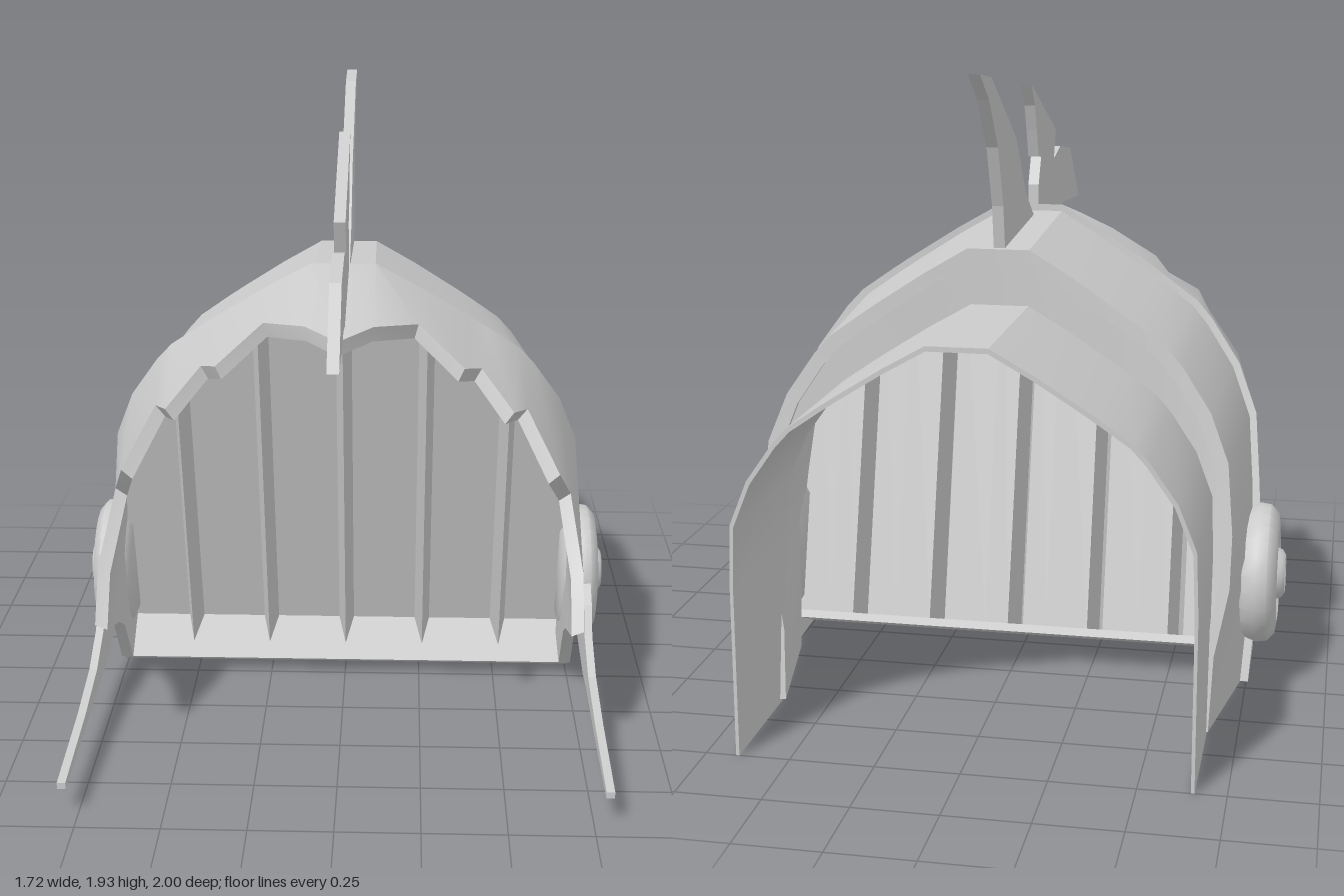
import * as THREE from 'three';
import { toCreasedNormals } from 'three/addons/utils/BufferGeometryUtils.js';

const V = (x, y, z) => new THREE.Vector3(x, y, z);
const material = new THREE.MeshStandardMaterial({ color: 0xcccccc, side: THREE.DoubleSide });

// Half arch of the dome (x, y), from the crown down to the bottom of one side
const ARCH = [[0, 1.46], [0.1, 1.46], [0.24, 1.38], [0.39, 1.285], [0.45, 1.245], [0.55, 1.175], [0.6, 1.12],
  [0.69, 0.99], [0.75, 0.84], [0.77, 0.62], [0.78, 0.46], [0.78, 0.36], [0.775, 0.26], [0.76, 0.03]];
// Ragged front edge (x, y, z), one point for each arch point
const JAGGED = [[0, 1.36, 0.645], [0.1, 1.375, 0.54], [0.23, 1.345, 0.4], [0.365, 1.24, 0.5], [0.42, 1.205, 0.385],
  [0.51, 1.12, 0.54], [0.56, 1.08, 0.385], [0.655, 0.91, 0.49], [0.71, 0.77, 0.28], [0.735, 0.6, 0.51],
  [0.735, 0.45, 0.6], [0.74, 0.36, 0.36], [0.75, 0.27, 0.2], [0.76, 0.05, 0]];

const seamZ = (y) => 0.13 - 0.278 * (1.46 - y);
const backZ = (y) => -0.43 - 0.143 * (1.4 - y);
const inset = (row) => row.map((p) => V(p.x * 0.95, p.y * 0.968, p.z));
const shift = (row, dz) => row.map((p) => V(p.x, p.y, p.z + dz));
const mirrorRow = (row) => [...row.slice(1).reverse().map((p) => V(-p.x, p.y, p.z)), ...row];

// Closed shell lofted over the arch; every section is a four-cornered loop
function shell(name, outerBack, outerFront, innerFront = inset(outerFront), innerBack = inset(outerBack)) {
  const rows = [outerBack, outerFront, innerFront, innerBack].map(mirrorRow);
  const n = rows[0].length, pos = [], index = [];
  for (let i = 0; i < n; i++) for (const r of rows) pos.push(r[i].x, r[i].y, r[i].z);
  for (let i = 0; i < n - 1; i++) {
    for (let k = 0; k < 4; k++) {
      const a = i * 4 + k, b = i * 4 + (k + 1) % 4;
      index.push(a, b, b + 4, a, b + 4, a + 4);
    }
  }
  const e = (n - 1) * 4;
  index.push(0, 2, 1, 0, 3, 2, e, e + 1, e + 2, e, e + 2, e + 3);
  const g = new THREE.BufferGeometry();
  g.setAttribute('position', new THREE.Float32BufferAttribute(pos, 3));
  g.setIndex(index);
  return mesh(name, toCreasedNormals(g, 0.5));
}

function mesh(name, geometry) {
  const m = new THREE.Mesh(geometry, material);
  m.name = name;
  return m;
}

// Flat plate drawn in (z, y), standing across x
function plate(name, points, width, x = 0) {
  const shape = new THREE.Shape(points.map(([z, y]) => new THREE.Vector2(z, y)));
  const g = new THREE.ExtrudeGeometry(shape, { depth: width, bevelEnabled: false });
  g.rotateY(-Math.PI / 2).translate(x + width / 2, 0, 0);
  return mesh(name, g);
}

// Height of the arch at a given x, slightly inside the dome
function archY(x) {
  for (let i = 1; i < ARCH.length; i++) {
    const [x0, y0] = ARCH[i - 1], [x1, y1] = ARCH[i];
    if (x <= x1) return y0 + (y1 - y0) * (x - x0) / (x1 - x0) - 0.04;
  }
  return 0.4;
}

// Forward-leaning face panel folded into five pointed ridges
function facePanel() {
  const ribs = [-0.52, -0.26, 0, 0.26, 0.52];
  const cols = [-0.74, -0.7, -0.62, -0.4, -0.1, 0.1, 0.4, 0.62, 0.7, 0.74].map((x) => [x, 0]);
  for (const r of ribs) cols.push([r - 0.025, 0], [r, 1], [r + 0.025, 0]);
  cols.sort((a, b) => a[0] - b[0]);
  const g = new THREE.PlaneGeometry(1, 1, cols.length - 1, 1);
  const p = g.attributes.position;
  cols.forEach(([x, ridge], i) => {
    const top = archY(Math.abs(x)), low = 0.13 - 0.05 * ridge, push = 0.106 * ridge;
    p.setXYZ(i, x, top, -0.17 + 0.278 * (top - 0.13) + push);
    p.setXYZ(i + cols.length, x, low, -0.17 + push);
  });
  return mesh('facePanel', toCreasedNormals(g, 0.2));
}

// Round side boss with a rolled rim, a shallow groove and a hub
function sideBoss(side) {
  const profile = [[0, -0.06], [0.17, -0.06], [0.205, -0.04], [0.22, 0], [0.215, 0.035], [0.19, 0.058], [0.15, 0.064],
    [0.135, 0.05], [0.085, 0.05], [0.075, 0.075], [0.06, 0.085], [0.052, 0.078], [0, 0.078]];
  const g = new THREE.LatheGeometry(profile.map(([r, h]) => new THREE.Vector2(r, h)), 24);
  const m = mesh(side > 0 ? 'leftBoss' : 'rightBoss', toCreasedNormals(g, 0.7));
  m.rotation.z = -side * Math.PI / 2;
  m.position.set(side * 0.775, 0.343, -0.125);
  return m;
}

export function createModel() {
  const model = new THREE.Group();
  model.name = 'finnedHelmet';

  // Front shell with the ragged edge
  const seam = ARCH.map(([x, y]) => V(x, y, seamZ(y)));
  model.add(shell('frontShell', seam, JAGGED.map((p) => V(...p))));

  // Middle band tucked under the front shell, merging with the neck guard low down
  const bandFront = ARCH.map(([x, y]) => V(x * 0.975, y * 0.987, seamZ(y) + 0.03));
  const bandBack = ARCH.map(([x, y]) => {
    const yy = y * 0.96, t = THREE.MathUtils.clamp((yy - 0.2) / 0.3, 0, 1);
    const wide = x * 0.93;
    return V(y < 0.6 ? THREE.MathUtils.lerp(0.665, wide, t) : wide, yy - 0.015 * (1 - t), backZ(yy));
  });
  model.add(shell('middleBand', bandBack, bandFront));

  // Neck guard, with a step wall closing the gap to the band
  const neckPoint = ([x, y]) => [Math.min(0.66, x * 0.87), (y - 0.03) * 1.23 / 1.43];
  const neckFront = ARCH.map((p) => {
    const [x, y] = neckPoint(p);
    return V(x, y, backZ(p[1] * 0.96) + 0.03);
  });
  const neckBack = neckFront.map((p) => V(p.x, p.y, -1));
  const slim = (row) => row.map((p) => V(p.x * 0.985, p.y * 0.988, p.z));
  model.add(shell('neckGuard', neckBack, neckFront, slim(neckFront), slim(neckBack)));
  const wallOuter = shift(slim(bandBack), 0.02);
  model.add(shell('stepWall', wallOuter, shift(wallOuter, 0.02), shift(neckFront, 0.01), shift(neckFront, -0.01)));

  // Face panel and sloping chin bar
  model.add(facePanel());
  model.add(plate('chinBar', [[0, 0.05], [-0.17, 0.13], [-0.2, 0.115], [-0.02, 0.035]], 1.5));

  // Crest fins on the centre line
  model.add(plate('frontFin', [[1, 1.375], [0.8, 1.572], [0.578, 1.6], [0.45, 1.572], [0.487, 1.668], [0.027, 1.85],
    [0.085, 1.78], [0.12, 1.7], [0.155, 1.61], [0.2, 1.605], [0.155, 1.52], [0.155, 1.43], [0.5, 1.37], [0.65, 1.395]], 0.034));
  model.add(plate('rearFin', [[0.12, 1.4], [-0.07, 1.52], [-0.23, 1.71], [-0.6, 1.915], [-0.755, 1.933], [-0.635, 1.855],
    [-0.51, 1.71], [-0.435, 1.53], [-0.405, 1.37]], 0.034));

  // Side bosses and the long spikes reaching forward from them
  for (const side of [1, -1]) {
    model.add(sideBoss(side));
    model.add(plate(side > 0 ? 'leftSpike' : 'rightSpike', [[0.93, 0.103], [0.58, 0.135], [0.35, 0.175], [0.2, 0.245],
      [0.15, 0.33], [0.08, 0.385], [-0.1, 0.42], [-0.16, 0.25], [-0.02, 0.145], [0.2, 0.108], [0.3, 0.112],
      [0.58, 0.093], [0.93, 0.083]], 0.025, side * 0.795));
  }
  return model;
}
